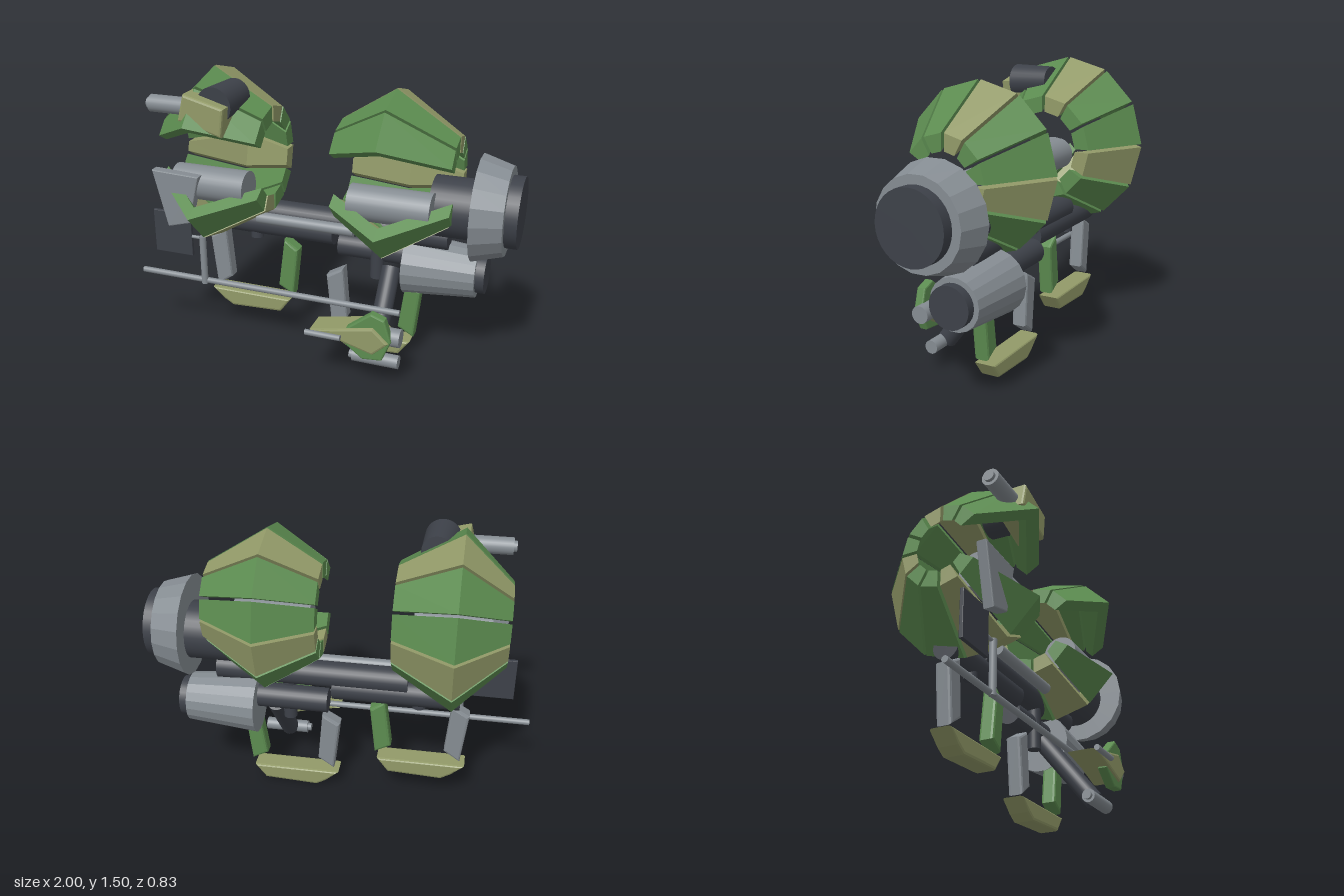
import * as THREE from 'three';
import { ConvexGeometry } from 'three/addons/geometries/ConvexGeometry.js';

const V = (x, y, z) => new THREE.Vector3(x, y, z);

function material(name, color) {
  const m = new THREE.MeshStandardMaterial({ color });
  m.name = name;
  return m;
}

export function createModel() {
  const green = material('green paint', 0x5c8c50);
  const khaki = material('khaki paint', 0x929a68);
  const dark = material('dark metal', 0x3d4149);
  const grey = material('light metal', 0x858c92);
  const model = new THREE.Group();

  function add(name, geometry, mat, parent = model) {
    const mesh = new THREE.Mesh(geometry, mat);
    mesh.name = name;
    parent.add(mesh);
    return mesh;
  }

  // Round bar from point a to point b, with a radius at each end
  function bar(name, a, b, ra, rb, mat, sides = 28, parent = model) {
    const p = V(...a), q = V(...b), d = q.clone().sub(p);
    let geo = new THREE.CylinderGeometry(rb, ra, d.length(), sides);
    geo.applyQuaternion(new THREE.Quaternion().setFromUnitVectors(V(0, 1, 0), d.normalize()));
    geo.translate(...p.add(q).multiplyScalar(0.5).toArray());
    if (sides < 20) {
      geo = geo.toNonIndexed();
      geo.computeVertexNormals();
    }
    return add(name, geo, mat, parent);
  }

  // Bevelled slab: an outline in x and y, extruded from z0 to z1
  function slab(name, pts, z0, z1, mat, bevel = 0.012, parent = model) {
    const shape = new THREE.Shape(pts.map(([x, y]) => new THREE.Vector2(x, y)));
    const geo = new THREE.ExtrudeGeometry(shape, {
      depth: z1 - z0 - 2 * bevel, bevelEnabled: true, bevelSize: bevel,
      bevelThickness: bevel, bevelOffset: -bevel, bevelSegments: 2,
    });
    geo.translate(0, 0, z0 + bevel);
    return add(name, geo, mat, parent);
  }

  // Armour shells: ten ridged plates around the x axis, open at the front
  const cy = 1.048, cz = 0.025, gap = 0.008;
  function shellPoint(x, r, i, side) {
    const a = (i + (side > 0 ? 1 : 0)) * Math.PI / 6;
    const s = -side * gap; // tangential inset that leaves a slit
    return V(x, cy + 1.04 * (r * Math.cos(a) - s * Math.sin(a)),
      cz - (r * Math.sin(a) + s * Math.cos(a)));
  }
  function shell(name, profile, thickness) {
    const group = new THREE.Group();
    group.name = name;
    for (let i = 0; i < 12; i++) {
      if (i === 8 || i === 9) continue;
      for (let h = 0; h < 2; h++) {
        const pts = [];
        for (const [x, r] of [profile[h], profile[h + 1]]) {
          for (const side of [-1, 1]) {
            pts.push(shellPoint(x, r, i, side), shellPoint(x, r - thickness, i, side));
          }
        }
        add('armourPlate', new ConvexGeometry(pts), i % 3 === 0 && i < 9 ? khaki : green, group);
      }
    }
    model.add(group);
  }
  shell('rightShell', [[-0.83, 0.207], [-0.58, 0.443], [-0.27, 0.267]], 0.08);
  shell('leftShell', [[0.105, 0.245], [0.375, 0.41], [0.69, 0.213]], 0.08);

  // Main engine
  const ey = 0.915;
  bar('engineCore', [0.57, 0.895, -0.015], [0.8, 0.895, -0.015], 0.152, 0.152, dark, 32);
  bar('engineRing', [0.79, ey, -0.005], [0.94, ey, -0.005], 0.267, 0.222, grey, 18);
  bar('engineNozzle', [0.93, ey, -0.005], [1.0, ey, -0.005], 0.177, 0.177, dark, 32);

  // Lower engine
  bar('lowerEngineStub', [0.06, 0.575, -0.09], [0.45, 0.575, -0.09], 0.065, 0.065, dark);
  bar('lowerEngine', [0.43, 0.525, -0.09], [0.8, 0.525, -0.09], 0.163, 0.13, grey, 18);
  bar('lowerNozzle', [0.79, 0.525, -0.09], [0.845, 0.525, -0.09], 0.104, 0.104, dark);

  // Frame bars and hanging pegs
  bar('upperFrameBar', [-0.35, 0.715, -0.055], [0.65, 0.715, -0.055], 0.068, 0.068, dark);
  bar('lowerFrameBar', [-0.62, 0.648, -0.06], [0.04, 0.648, -0.06], 0.068, 0.068, dark);
  bar('frameRod', [-0.35, 0.725, 0.065], [0.18, 0.725, 0.065], 0.03, 0.03, grey);
  bar('peg', [-0.41, 0.56, -0.05], [-0.41, 0.72, -0.05], 0.035, 0.035, dark);
  bar('peg', [0.275, 0.43, -0.05], [0.275, 0.72, -0.05], 0.036, 0.036, dark);

  // Drums inside the shells
  bar('rightDrum', [-0.75, 0.925, 0.17], [-0.35, 0.925, 0.17], 0.09, 0.09, grey);
  bar('leftDrum', [0.19, 0.925, 0.15], [0.6, 0.925, 0.15], 0.09, 0.09, grey);

  // Side panels
  slab('sidePanel', [[-0.845, 1.0], [-0.58, 0.99], [-0.645, 0.73], [-0.77, 0.695]],
    0.22, 0.275, grey, 0.006);
  slab('darkPanel', [[-0.9, 0.745], [-0.68, 0.745], [-0.68, 0.505], [-0.9, 0.505]],
    0.18, 0.2, dark, 0.003);

  // Long rod and its hanger
  bar('longRod', [-1, 0.365, 0.182], [0.465, 0.365, 0.182], 0.016, 0.016, grey, 20);
  bar('rodHanger', [-0.62, 0.35, 0.19], [-0.62, 0.625, 0.19], 0.018, 0.018, grey, 20);
  bar('hangerArm', [-0.74, 0.615, 0.19], [-0.61, 0.615, 0.19], 0.009, 0.009, grey, 20);

  // Two skids, each with a grey and a green leg
  for (const [name, dx, dy] of [['rightSkid', 0, 0], ['leftSkid', 0.68, -0.13]]) {
    const skid = new THREE.Group();
    skid.name = name;
    skid.position.set(dx, dy, 0);
    slab('foot', [[-0.67, 0.23], [-0.2, 0.23], [-0.26, 0.147], [-0.548, 0.134], [-0.6, 0.165]],
      -0.1, 0.015, khaki, 0.014, skid);
    slab('greyLeg', [[-0.675, 0.54], [-0.58, 0.595], [-0.555, 0.305], [-0.642, 0.245]],
      -0.08, 0, grey, 0.014, skid);
    slab('greenLeg', [[-0.235, 0.585], [-0.155, 0.53], [-0.185, 0.258], [-0.272, 0.305]],
      -0.08, 0, green, 0.014, skid);
    model.add(skid);
  }

  // Lower turret on a slanted strut
  bar('turretStrut', [0.355, 0.5, -0.04], [0.355, 0.13, 0.25], 0.05, 0.05, dark);
  bar('turretFoot', [0.25, 0.13, 0.26], [0.49, 0.13, 0.26], 0.035, 0.035, grey);
  bar('turretFootTip', [0.23, 0.13, 0.26], [0.26, 0.13, 0.26], 0.022, 0.022, grey);
  slab('turretBody', [[0.055, 0.3], [0.22, 0.335], [0.385, 0.37], [0.465, 0.295], [0.385, 0.22],
    [0.22, 0.265]], 0.235, 0.385, khaki);
  slab('turretFin', [[0.225, 0.325], [0.37, 0.44], [0.44, 0.415], [0.475, 0.3], [0.43, 0.19],
    [0.33, 0.18], [0.23, 0.255]], 0.322, 0.372, green, 0.008);
  bar('turretDrum', [0.4, 0.3, 0.31], [0.51, 0.3, 0.31], 0.047, 0.047, grey);
  bar('turretBarrel', [0.04, 0.295, 0.4], [0.225, 0.295, 0.4], 0.015, 0.015, grey, 20);

  // Upper turret on the right shell
  slab('upperTurretBody', [[-0.6, 1.435], [-0.385, 1.38], [-0.405, 1.235], [-0.635, 1.3]],
    0.2, 0.348, khaki);
  bar('upperTurretDrum', [-0.465, 1.375, 0.285], [-0.45, 1.385, 0.068], 0.093, 0.08, dark);
  bar('upperTurretBarrel', [-0.815, 1.355, 0.27], [-0.58, 1.355, 0.27], 0.044, 0.044, grey);
  bar('upperTurretMuzzle', [-0.832, 1.355, 0.27], [-0.81, 1.355, 0.27], 0.028, 0.028, grey);

  return model;
}
